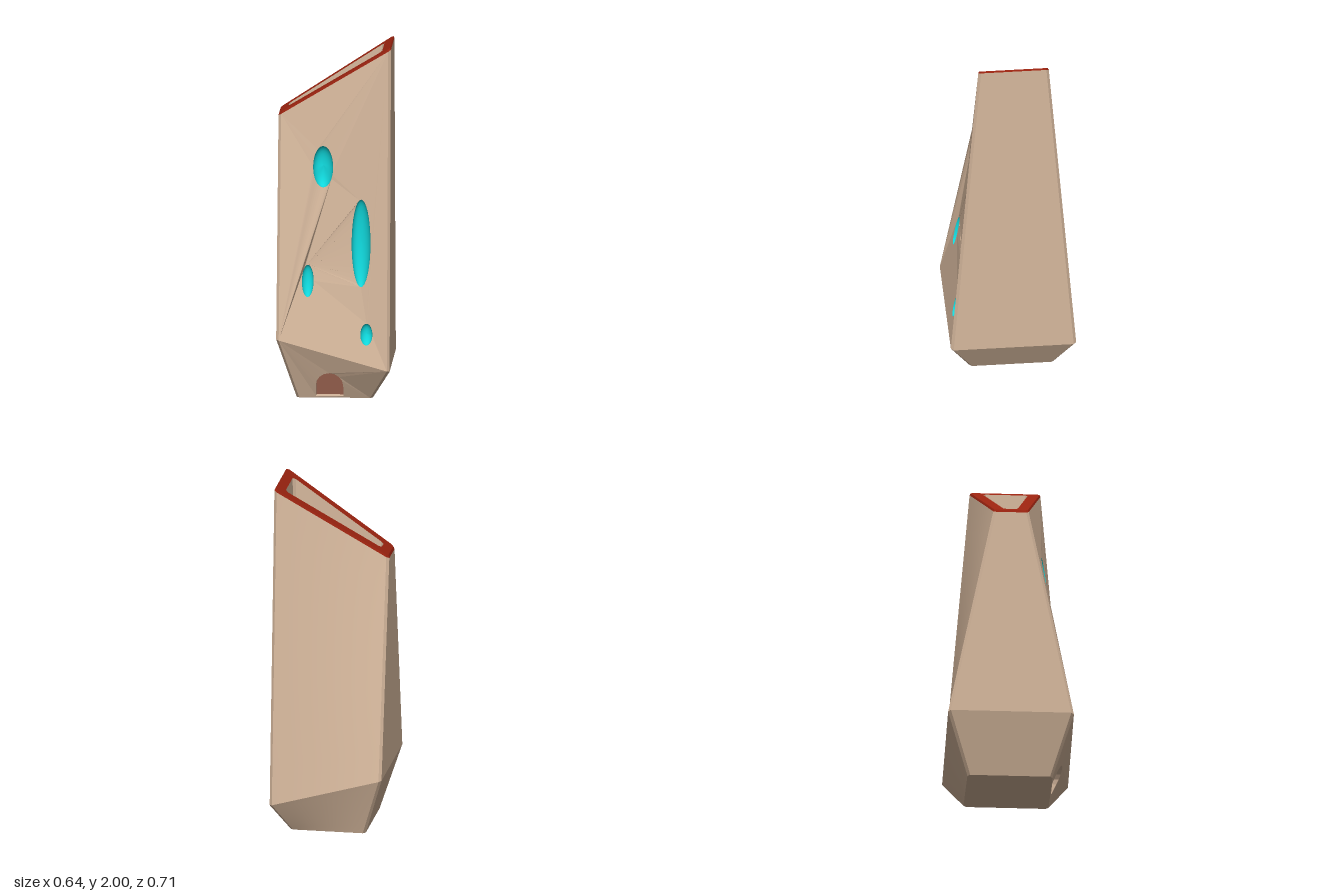
import * as THREE from 'three';

const mat = (name, color) => new THREE.MeshStandardMaterial({ name, color, side: THREE.DoubleSide });
const lerp = THREE.MathUtils.lerp;
const V = (x, y, z) => new THREE.Vector3(x, y, z);

// Smooth skin over rows of points, each row the same length
function skin(rows) {
  const n = rows[0].length, index = [];
  for (let j = 0; j < rows.length - 1; j++) {
    for (let i = 0; i < n - 1; i++) {
      const a = j * n + i, b = a + 1, c = a + n, d = c + 1;
      index.push(a, b, d, a, d, c);
    }
  }
  const g = new THREE.BufferGeometry().setFromPoints(rows.flat());
  g.setIndex(index);
  g.computeVertexNormals();
  return g;
}

// Ruled four-cornered panel
function panel(a, b, c, d, n = 8) {
  const rows = [];
  for (let j = 0; j <= n; j++) {
    const p = a.clone().lerp(d, j / n), q = b.clone().lerp(c, j / n);
    rows.push(Array.from({ length: n + 1 }, (_, i) => p.clone().lerp(q, i / n)));
  }
  return skin(rows);
}

// Four-sided section with clipped corners; starts with the front edge (left to right in x)
function ring(xl, xr, zl, zr, yl, yr, c = 0.015) {
  const P = (x, z) => V(x, lerp(yl, yr, (x - xl) / (xr - xl)), z);
  return [P(xl + c, zl), P(xr - c, zr), P(xr, zr - c), P(xr, c - zr),
    P(xr - c, -zr), P(xl + c, -zl), P(xl, c - zl), P(xl, zl - c)];
}

// Flat cap over a ring
function cap(r) {
  const index = [];
  for (let i = 1; i < r.length - 1; i++) index.push(0, i, i + 1);
  const g = new THREE.BufferGeometry().setFromPoints(r);
  g.setIndex(index);
  g.computeVertexNormals();
  return g;
}

// z of the plane through three points
function planeZ(a, b, c) {
  const p = new THREE.Plane().setFromCoplanarPoints(a, b, c);
  return (x, y) => -(p.normal.x * x + p.normal.y * y + p.constant) / p.normal.z;
}

// z of the ruled surface between four corners
function ruledZ(bl, br, tr, tl) {
  return (x, y) => {
    const u = (x - tl.x) / (tr.x - tl.x);
    const yb = lerp(bl.y, br.y, u), yt = lerp(tl.y, tr.y, u);
    return lerp(lerp(bl.z, br.z, u), lerp(tl.z, tr.z, u), (y - yb) / (yt - yb));
  };
}

// Front panel pierced by holes, bent to the height rule
function pierced(corners, holes, height) {
  const shape = new THREE.Shape(corners.map(p => new THREE.Vector2(p.x, p.y)));
  shape.holes = holes.map(h => new THREE.Path(h));
  const g = new THREE.ShapeGeometry(shape).toNonIndexed();
  const pos = g.attributes.position;
  for (let i = 0; i < pos.count; i++) pos.setZ(i, height(pos.getX(i), pos.getY(i)));
  g.computeVertexNormals();
  return g;
}

const ellipse = (x, y, rx, ry, n = 32) => Array.from({ length: n }, (_, i) => {
  const a = i / n * Math.PI * 2;
  return new THREE.Vector2(x + rx * Math.cos(a), y + ry * Math.sin(a));
});

export function createModel() {
  const model = new THREE.Group();
  const clay = mat('clay', 0xd6b89d);
  const red = mat('rimRed', 0x98220f);
  const cyan = mat('hollowCyan', 0x10d8dc);
  const brown = mat('doorBrown', 0x8f5b4a);
  const add = (name, geometry, material) => {
    const m = new THREE.Mesh(geometry, material);
    m.name = name;
    model.add(m);
  };
  const band = (name, lo, hi, material, skipFront = false) => {
    for (let k = skipFront ? 1 : 0; k < 8; k++) {
      const l = (k + 1) % 8;
      add(name, panel(lo[k], lo[l], hi[l], hi[k], k % 2 ? 1 : 8), material);
    }
  };

  // Sections from the foot to the slanted mouth
  const foot = ring(-0.21, 0.22, 0.24, 0.24, 0, 0);
  const waist = ring(-0.32, 0.32, 0.355, 0.355, 0.35, 0.17);
  const neck = ring(-0.32, 0.32, 0.1, 0.2, 1.588, 1.988);
  const lip = ring(-0.314, 0.314, 0.095, 0.195, 1.604, 1.997);
  const mouth = ring(-0.267, 0.267, 0.041, 0.125, 1.633, 1.967);
  const floor = ring(-0.255, 0.255, 0.028, 0.1, 0.85, 0.95);

  // Outer walls, foot and rim
  add('footBase', cap(foot), clay);
  band('lowerWall', foot, waist, clay, true);
  band('upperWall', waist, neck, clay, true);
  band('rimEdge', neck, lip, red);
  band('rimTop', lip, mouth, red);

  // Inner cavity
  band('cavityWall', floor, mouth, clay);
  add('cavityFloor', cap(floor), clay);

  // Upper front, folded along its diagonal and easing into a ruled surface higher up
  const up = [waist[0], waist[1], neck[1], neck[0]];
  const upperPlane = planeZ(up[3], up[2], up[1]), lowerPlane = planeZ(up[3], up[0], up[1]);
  const upRuled = ruledZ(...up);
  const upZ = (x, y) => lerp(Math.max(upperPlane(x, y), lowerPlane(x, y)), upRuled(x, y),
    THREE.MathUtils.smoothstep(y, 1.1, 1.3));
  const hollows = [
    [-0.062, 1.315, 0.057, 0.117], [0.155, 0.89, 0.054, 0.247],
    [-0.145, 0.675, 0.033, 0.089], [0.188, 0.378, 0.034, 0.06],
  ];
  add('upperFront', pierced(up, hollows.map(h => ellipse(...h)), upZ), clay);

  // Dished hollows
  for (const [x, y, rx, ry] of hollows) {
    const rows = [];
    for (let j = 0; j <= 8; j++) {
      const a = j / 8 * Math.PI / 2, r = Math.max(Math.cos(a), 0.001);
      const rim = ellipse(x, y, rx, ry);
      rim.push(rim[0]);
      rows.push(rim.map(p => V(lerp(x, p.x, r), lerp(y, p.y, r),
        lerp(upZ(x, y), upZ(p.x, p.y), r) - rx * Math.sin(a))));
    }
    add('hollow', skin(rows), cyan);
  }

  // Lower front with an arched, recessed door
  const low = [foot[0], foot[1], waist[1], waist[0]];
  const lowZ = ruledZ(...low);
  const arch = [new THREE.Vector2(-0.1, 0.01), new THREE.Vector2(0.055, 0.01)];
  for (let i = 0; i <= 8; i++) {
    const a = i / 8 * Math.PI;
    arch.push(new THREE.Vector2(-0.0225 + 0.0775 * Math.cos(a), 0.075 + 0.077 * Math.sin(a)));
  }
  add('lowerFront', pierced(low, [arch], lowZ), clay);
  const doorZ = 0.19;
  arch.forEach((p, i) => {
    const q = arch[(i + 1) % arch.length];
    add('doorway', panel(V(p.x, p.y, lowZ(p.x, p.y)), V(q.x, q.y, lowZ(q.x, q.y)),
      V(q.x, q.y, doorZ), V(p.x, p.y, doorZ), 1), clay);
  });
  add('door', new THREE.ShapeGeometry(new THREE.Shape(arch)).translate(0, 0, doorZ), brown);

  return model;
}
